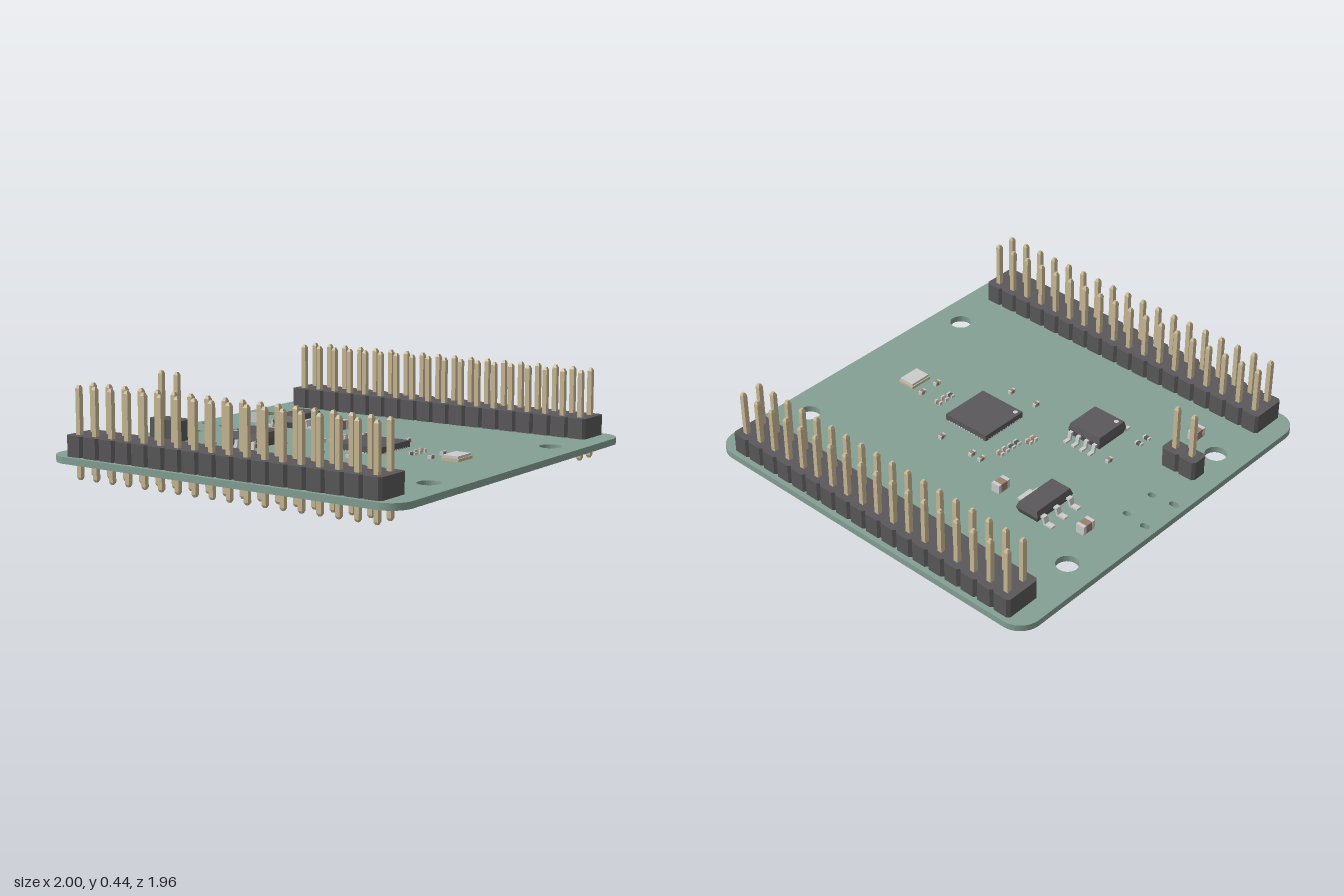
import * as THREE from 'three';

const material = (color) => new THREE.MeshStandardMaterial({ color, flatShading: true });
const TOP = 0.117, PITCH = 0.0976, THICK = 0.032;

export function createModel() {
  const model = new THREE.Group();
  const green = material(0x84a094), black = material(0x5a585a), gold = material(0xc9b894);
  const silver = material(0xcccccc), brown = material(0x9a7d69);

  function add(name, geometry, mat, x, y, z, parent = model) {
    const mesh = new THREE.Mesh(geometry, mat);
    mesh.name = name;
    mesh.position.set(x, y, z);
    parent.add(mesh);
    return mesh;
  }
  // y is the underside of the box
  const box = (name, w, h, d, mat, x, y, z, parent) =>
    add(name, new THREE.BoxGeometry(w, h, d), mat, x, y + h / 2, z, parent);
  function group(name, x = 0, y = 0, z = 0) {
    const g = new THREE.Group();
    g.name = name;
    g.position.set(x, y, z);
    model.add(g);
    return g;
  }

  // Circuit board with rounded corners, mounting holes, slots and vias
  const board = new THREE.Shape();
  const W = 1, D = 0.98, R = 0.11;
  board.absarc(W - R, D - R, R, 0, Math.PI / 2);
  board.absarc(-W + R, D - R, R, Math.PI / 2, Math.PI);
  board.absarc(-W + R, -D + R, R, Math.PI, Math.PI * 1.5);
  board.absarc(W - R, -D + R, R, Math.PI * 1.5, Math.PI * 2);
  const hole = (x, z, rx, rz = rx) => {
    const p = new THREE.Path();
    p.absellipse(x, z, rx, rz, 0, Math.PI * 2, true);
    board.holes.push(p);
  };
  for (const sx of [-1, 1]) {
    for (const sz of [-1, 1]) hole(sx * 0.535, sz * 0.83, 0.054);
    for (const [x, z, half] of [[0.105, -0.92, 0.009], [0.09, -0.803, 0.005]]) {
      const slot = new THREE.Path();
      slot.absarc(sx * x, z + half, 0.016, Math.PI, 0, true);
      slot.absarc(sx * x, z - half, 0.016, 0, -Math.PI, true);
      board.holes.push(slot);
    }
  }
  for (let i = -1; i <= 1; i++) for (let j = -1; j <= 1; j++) hole(i * 0.04, 0.168 + j * 0.04, 0.006);
  const boardGeo = new THREE.ExtrudeGeometry(board, { depth: THICK, bevelEnabled: false, curveSegments: 16 });
  add('circuitBoard', boardGeo.rotateX(Math.PI / 2), green, 0, TOP, 0);

  // Pin headers: notched housing blocks with square tapered pins
  const v2 = (x, y) => new THREE.Vector2(x, y);
  const pr = 0.012 * Math.SQRT2;
  const pinGeo = new THREE.LatheGeometry(
    [v2(0, 0.004), v2(pr * 0.5, 0.004), v2(pr, 0.016), v2(pr, 0.434), v2(pr * 0.5, 0.448), v2(0, 0.448)], 4
  ).rotateY(Math.PI / 4);
  function blockGeo(w) {
    const a = w / 2, b = PITCH / 2, c = 0.013;
    const s = new THREE.Shape([v2(a, b - c), v2(a - c, b), v2(c - a, b), v2(-a, b - c),
      v2(-a, c - b), v2(c - a, -b), v2(a - c, -b), v2(a, c - b)]);
    return new THREE.ExtrudeGeometry(s, { depth: 0.1, bevelEnabled: false }).rotateX(-Math.PI / 2);
  }
  function header(name, x, z, columns, rows) {
    const g = group(name, x, 0, z);
    const block = blockGeo(columns * PITCH - 0.003);
    for (let r = 0; r < rows; r++) {
      const pz = (r - (rows - 1) / 2) * PITCH;
      add('housing', block, black, 0, TOP, pz, g);
      for (let c = 0; c < columns; c++) add('pin', pinGeo, gold, (c - (columns - 1) / 2) * PITCH, 0, pz, g);
    }
  }
  header('leftHeader', 0.878, 0, 2, 18);
  header('rightHeader', -0.882, 0, 2, 18);
  header('jumperHeader', -0.344, -0.782, 1, 2);

  // Moulded package: box whose top and bottom edges taper inward
  function moulded(w, h, d, inset) {
    const geo = new THREE.BoxGeometry(w, h, d, 1, 2, 1), p = geo.attributes.position;
    for (let i = 0; i < p.count; i++) {
      if (Math.abs(p.getY(i)) < 1e-6) continue;
      p.setX(i, p.getX(i) - Math.sign(p.getX(i)) * inset);
      p.setZ(i, p.getZ(i) - Math.sign(p.getZ(i)) * inset);
    }
    return geo;
  }
  // Bent lead running outward along +x, ending in a flat foot on the board
  function leadGeo(length, width, height) {
    const t = 0.01, a = length * 0.25, b = length * 0.45;
    const s = new THREE.Shape([v2(-0.02, height - t), v2(a - t * 0.5, height - t), v2(b - t, 0), v2(length, 0),
      v2(length, t), v2(b, t), v2(a + t * 0.5, height), v2(-0.02, height)]);
    return new THREE.ExtrudeGeometry(s, { depth: width, bevelEnabled: false }).translate(0, 0, -width / 2);
  }
  const dotGeo = new THREE.CylinderGeometry(0.012, 0.012, 0.002, 16);

  // Eight-lead chip
  const memory = group('eightLeadChip', -0.267, TOP, -0.321);
  add('body', moulded(0.196, 0.065, 0.196, 0.007), black, 0, 0.046, 0, memory);
  add('pinOneDot', dotGeo, silver, -0.065, 0.079, -0.064, memory);
  const smallLead = leadGeo(0.055, 0.019, 0.044);
  for (let i = 0; i < 4; i++) for (const s of [-1, 1]) {
    add('lead', smallLead, silver, s * 0.095, 0, (i - 1.5) * 0.0495, memory).rotation.y = s < 0 ? Math.PI : 0;
  }

  // Voltage regulator with three leads and a wide tab
  const regulator = group('regulator', 0.305, TOP, -0.492);
  add('body', moulded(0.246, 0.06, 0.13, 0.01), black, 0, 0.039, 0, regulator);
  const bigLead = leadGeo(0.07, 0.028, 0.042);
  for (const x of [-0.088, 0, 0.088]) {
    add('lead', bigLead, silver, x, 0, -0.062, regulator).rotation.y = Math.PI / 2;
  }
  add('tab', leadGeo(0.066, 0.086, 0.042), silver, 0, 0, 0.062, regulator).rotation.y = -Math.PI / 2;

  // Square processor with contact pads on all four sides
  const processor = group('processor', -0.002, TOP, 0.168);
  box('body', 0.262, 0.032, 0.262, black, 0, 0.003, 0, processor);
  add('pinOneDot', dotGeo, silver, -0.106, 0.035, -0.106, processor);
  for (let i = 0; i < 14; i++) for (const s of [-1, 1]) {
    const t = (i - 6.5) * 0.0165;
    box('pad', 0.009, 0.008, 0.02, silver, t, 0, s * 0.122, processor);
    box('pad', 0.02, 0.008, 0.009, silver, s * 0.122, 0, t, processor);
  }

  // Crystal: ceramic base with a metal lid
  box('crystalBase', 0.124, 0.014, 0.092, gold, -0.002, TOP, 0.641);
  box('crystalLid', 0.114, 0.012, 0.082, silver, -0.002, TOP + 0.014, 0.641);

  // Two-ended chip component; its long side runs along x, or along z if upright
  function chip(name, x, z, length, width, height, mat, upright = false) {
    const g = group(name, x, TOP, z), cap = length * 0.24;
    box('body', length - cap * 2, height * 0.96, width * 0.96, mat, 0, 0, 0, g);
    for (const s of [-1, 1]) box('endCap', cap, height, width, silver, s * (length - cap) / 2, 0, 0, g);
    if (upright) g.rotation.y = Math.PI / 2;
  }
  for (const [x, z] of [[-0.577, -0.68], [0.305, -0.737], [0.342, -0.256]]) {
    chip('largeCapacitor', x, z, 0.076, 0.046, 0.047, brown);
  }
  for (const [x, z] of [[-0.15, -0.495], [0.246, -0.043], [0.246, 0.016], [0.246, 0.214],
    [-0.25, 0.053], [-0.25, 0.214], [-0.053, 0.535], [0.05, 0.535]]) {
    chip('smallCapacitor', x, z, 0.036, 0.019, 0.018, brown);
  }
  for (const [x, z] of [[-0.036, -0.122], [-0.002, -0.122], [0.118, -0.081], [0.155, -0.081],
    [0.016, 0.417], [0.058, 0.417]]) {
    chip('smallCapacitor', x, z, 0.036, 0.019, 0.018, brown, true);
  }
  for (const [x, z] of [[-0.406, -0.515], [-0.348, -0.515], [0.037, -0.081], [0.076, -0.081], [-0.027, 0.417]]) {
    chip('resistor', x, z, 0.037, 0.021, 0.013, black, true);
  }
  return model;
}
